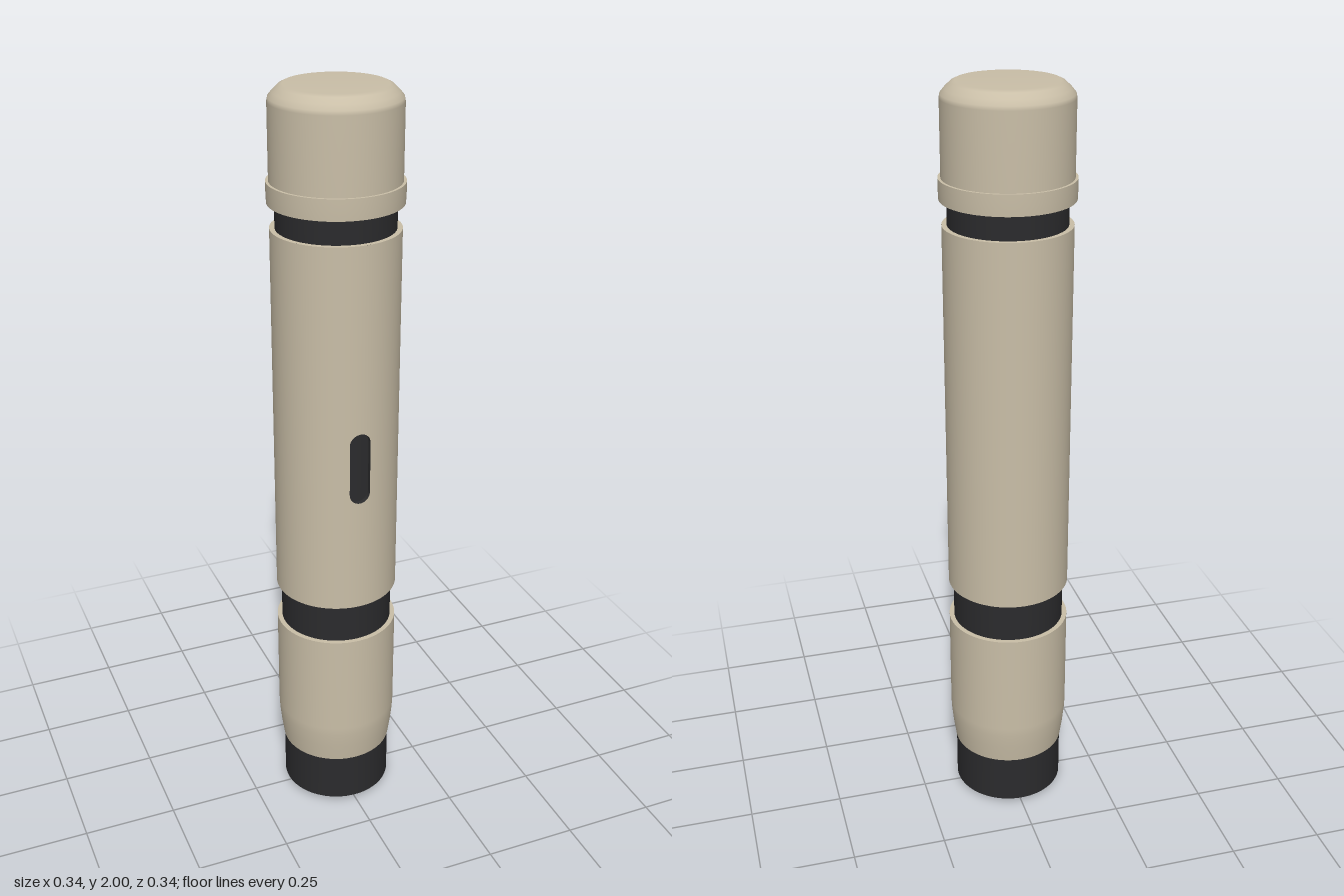
import * as THREE from 'three';
import { mergeGeometries } from 'three/addons/utils/BufferGeometryUtils.js';
import { ParametricGeometry } from 'three/addons/geometries/ParametricGeometry.js';

const SEG = 72;
const R = 0.162; // sleeve radius
const CORE = 0.149; // dark core radius
const tan = new THREE.MeshStandardMaterial({ color: 0xc9bea7 });
const dark = new THREE.MeshStandardMaterial({ color: 0x2b2b2d });

// Each run of [radius, y] points is smooth; edges between runs stay sharp.
function turned(runs, start = 0, length = Math.PI * 2) {
  return mergeGeometries(runs.map((run) =>
    new THREE.LatheGeometry(run.map(([r, y]) => new THREE.Vector2(r, y)), SEG, start, length)));
}

export function createModel() {
  const model = new THREE.Group();
  const add = (parent, name, geometry, material) => {
    const mesh = new THREE.Mesh(geometry, material);
    mesh.name = name;
    parent.add(mesh);
  };

  // Dark core: shows as the tip, the waist groove, the neck and the slot floor
  add(model, 'core', turned([
    [[0, 0.004], [0.07, 0.007], [0.148, 0.018]],
    [[0.148, 0.018], [0.148, 0.156], [CORE, 0.3], [CORE, 1.73]],
  ]), dark);

  // Lower sleeve, tapering to the tip
  add(model, 'lowerSleeve', turned([
    [[0.145, 0.155], [0.15, 0.155]],
    [[0.15, 0.155], [0.157, 0.205], [0.161, 0.245], [R, 0.27], [R, 0.555]],
    [[R, 0.555], [0.145, 0.555]],
  ]), tan);

  // Main barrel with a rounded slot through its front
  const barrel = new THREE.Group();
  barrel.name = 'barrel';
  model.add(barrel);
  const y0 = 0.665, y1 = 1.657;
  const w = 0.028, slotLow = 0.975 + w, slotHigh = 1.17 - w;
  const a = Math.asin(w / R);
  add(barrel, 'barrelWall', turned([[[R, y0], [R, slotLow], [R, slotHigh], [R, y1]]], a, Math.PI * 2 - 2 * a), tan);
  add(barrel, 'barrelEnds', turned([
    [[0.145, y0], [R, y0]],
    [[R, y1], [0.145, y1]],
  ]), tan);
  const onBarrel = (x, y, r, out) => out.set(x, y, Math.sqrt(r * r - x * x));
  const strip = (bottom, top) => new ParametricGeometry((u, v, out) => {
    const t = (u - 0.5) * Math.PI;
    onBarrel(w * Math.sin(t), THREE.MathUtils.lerp(bottom(t), top(t), v), R, out);
  }, 16, 4);
  add(barrel, 'wallAboveSlot', strip((t) => slotHigh + w * Math.cos(t), () => y1), tan);
  add(barrel, 'wallBelowSlot', strip(() => y0, (t) => slotLow - w * Math.cos(t)), tan);

  // Inner rim of the slot
  add(barrel, 'slotRim', new ParametricGeometry((u, v, out) => {
    const t = u * Math.PI * 2;
    const y = (u <= 0.5 ? slotHigh : slotLow) + w * Math.sin(t);
    onBarrel(w * Math.cos(t), y, THREE.MathUtils.lerp(R, CORE - 0.001, v), out);
  }, 48, 1), dark);
  for (const side of [-1, 1]) {
    const wall = new THREE.PlaneGeometry(R - CORE, slotHigh - slotLow);
    wall.rotateY(-side * Math.PI / 2);
    wall.translate(side * w, (slotLow + slotHigh) / 2, Math.sqrt(R * R - w * w) - (R - CORE) / 2);
    add(barrel, 'slotSide', wall, dark);
  }

  // Cap with a raised collar and bevelled top
  add(model, 'collar', turned([
    [[0.14, 1.72], [0.168, 1.72]],
    [[0.168, 1.72], [0.169, 1.745], [0.169, 1.773]],
    [[0.169, 1.773], [0.155, 1.773]],
  ]), tan);
  add(model, 'cap', turned([
    [[R, 1.765], [R, 1.96], [0.16, 1.97], [0.15, 1.982], [0.136, 1.995], [0.125, 2], [0, 2]],
  ]), tan);
  return model;
}
